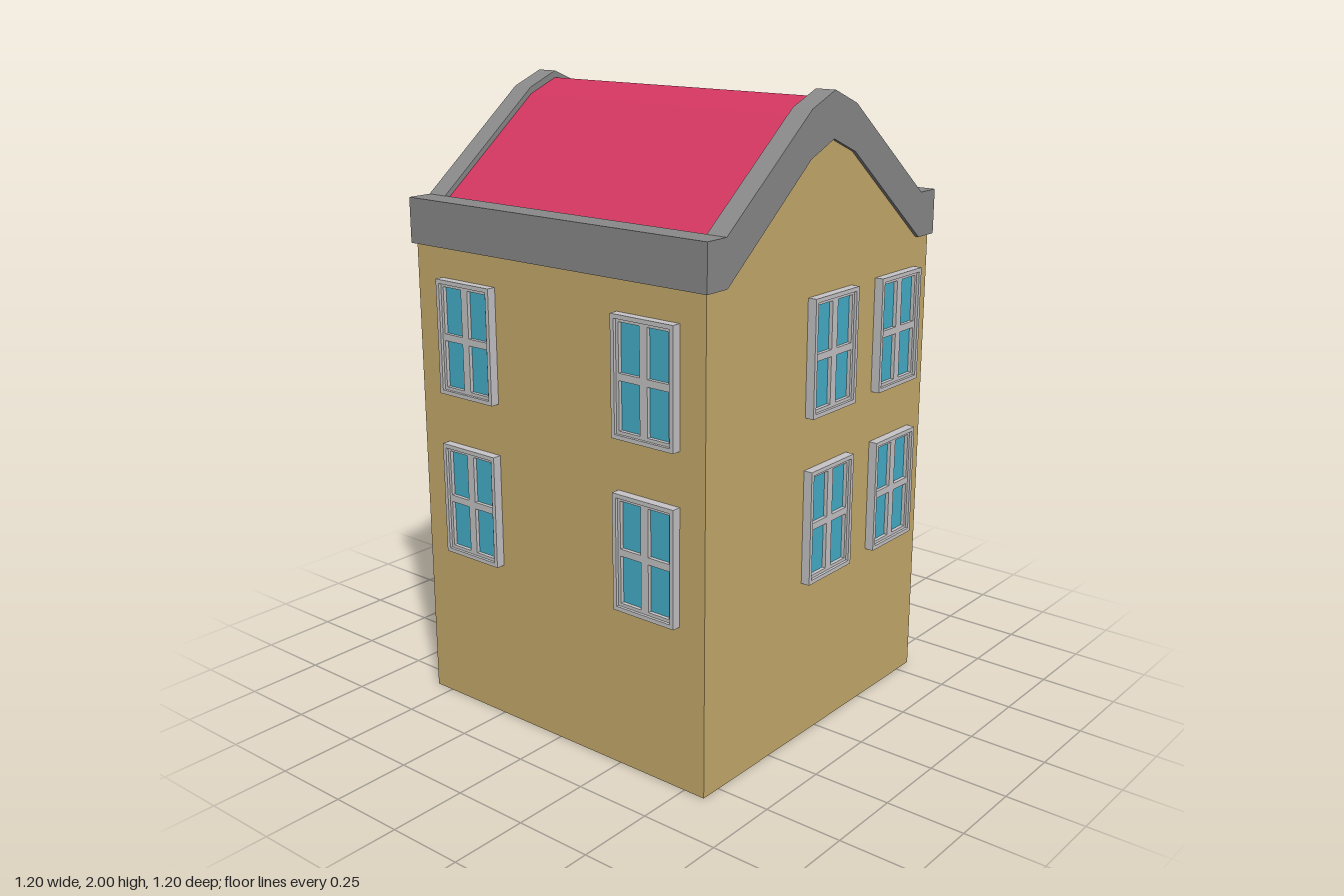
import * as THREE from 'three';

const material = (name, color) => {
  const m = new THREE.MeshStandardMaterial({ color });
  m.name = name;
  return m;
};

export function createModel() {
  const house = new THREE.Group();
  house.name = 'house';
  const wall = material('sand wall', 0xc9ad6e);
  const stone = material('grey stone', 0x8a8a8a);
  const tile = material('crimson roof', 0xd23661);
  const frame = material('pale frame', 0xc8c6c8);
  const glass = material('blue glass', 0x46b1cc);

  const BACK = -0.567, FRONT = 0.573, SIDE = 0.57;

  // Solid made by extruding an x-y outline between two z planes
  function prism(name, points, z0, z1, mat, parent = house) {
    const shape = new THREE.Shape(points.map(([x, y]) => new THREE.Vector2(x, y)));
    const geo = new THREE.ExtrudeGeometry(shape, { depth: z1 - z0, bevelEnabled: false });
    geo.translate(0, 0, z0);
    const mesh = new THREE.Mesh(geo, mat);
    mesh.name = name;
    parent.add(mesh);
    return mesh;
  }
  // Left-to-right outline from its right half (given from the edge to the ridge)
  const mirror = (half) => [...half, ...half.slice(0, -1).reverse().map(([x, y]) => [-x, y])];
  const rect = (x0, y0, x1, y1) => [[x0, y0], [x1, y0], [x1, y1], [x0, y1]];

  // Walls with gables
  prism('walls', mirror([[SIDE, 0], [SIDE, 1.57], [0.49, 1.57], [0.11, 1.88], [0, 1.925]]), BACK, FRONT, wall);

  // Curved roof
  prism('roof', mirror([[0.5, 1.56], [0.5, 1.63], [0.113, 1.933], [0, 1.978]]), -0.515, 0.522, tile);

  // Gable copings
  const top = mirror([[0.583, 1.65], [0.5, 1.65], [0.113, 1.955], [0, 2]]);
  const under = mirror([[0.583, 1.508], [0.495, 1.508], [0.113, 1.815], [0, 1.862]]);
  const coping = [...top, ...under.reverse()];
  prism('frontCoping', coping, 0.517, 0.585, stone);
  prism('backCoping', coping, -0.58, -0.51, stone);

  // Side parapets
  for (const s of [1, -1]) {
    const x = [s * 0.497, s * 0.583].sort((a, b) => a - b);
    prism(s > 0 ? 'leftParapet' : 'rightParapet', rect(x[0], 1.508, x[1], 1.65), -0.512, 0.52, stone);
  }

  // Flat plate with rectangular openings, facing +z
  function framePlate(name, outer, openings, depth, parent) {
    const shape = new THREE.Shape(rect(...outer).map((p) => new THREE.Vector2(...p)));
    for (const o of openings) {
      shape.holes.push(new THREE.Path(rect(...o).reverse().map((p) => new THREE.Vector2(...p))));
    }
    const mesh = new THREE.Mesh(new THREE.ExtrudeGeometry(shape, { depth, bevelEnabled: false }), frame);
    mesh.name = name;
    parent.add(mesh);
  }

  // Four-pane window centred on its own origin
  function makeWindow() {
    const g = new THREE.Group();
    g.name = 'window';
    const w = 0.114, h = 0.182;
    framePlate('casing', [-w, -h, w, h], [[-w + 0.013, -h + 0.013, w - 0.013, h - 0.013]], 0.029, g);
    const panes = [];
    for (const x of [-0.091, 0.014]) for (const y of [-0.159, 0.011]) panes.push([x, y, x + 0.077, y + 0.148]);
    framePlate('sash', [-w + 0.012, -h + 0.012, w - 0.012, h - 0.012], panes, 0.02, g);
    prism('pane', rect(-0.1, -0.168, 0.1, 0.168), 0.001, 0.008, glass, g);
    return g;
  }

  // Place an object on a wall
  const walls = {
    front: [0, (u) => [u, FRONT]],
    back: [Math.PI, (u) => [u, BACK]],
    left: [Math.PI / 2, (u) => [SIDE, u]],
    right: [-Math.PI / 2, (u) => [-SIDE, u]],
  };
  function place(object, side, u, y) {
    const [turn, at] = walls[side];
    const [x, z] = at(u);
    object.position.set(x, y, z);
    object.rotation.y = turn;
    house.add(object);
  }

  const columns = {
    front: [0.02, 0.38],
    back: [-0.31],
    left: [0.361, 0.002, -0.353],
    right: [-0.345, 0.368],
  };
  for (const [side, positions] of Object.entries(columns)) {
    for (const u of positions) {
      for (const y of [0.702, 1.231]) {
        const win = makeWindow();
        win.name = side + 'Window';
        place(win, side, u, y);
      }
    }
  }

  // Shopfront: double door between two display windows (local x runs towards -z)
  const shop = new THREE.Group();
  shop.name = 'shopfront';
  framePlate('doorFrame', [-0.17, 0.001, 0.17, 0.398],
    [[-0.153, 0.018, -0.014, 0.377], [0.014, 0.018, 0.153, 0.377]], 0.021, shop);
  prism('doorGlass', rect(-0.16, 0.01, 0.16, 0.385), 0.001, 0.009, glass, shop);
  for (const s of [-1, 1]) {
    const span = (a, b) => (s > 0 ? [a, b] : [-b, -a]);
    const [o0, o1] = span(0.168, 0.382);
    const [p0, p1] = span(0.17, 0.373);
    framePlate('displayFrame', [o0, 0.115, o1, 0.393],
      [[p0, 0.124, p1, 0.29], [p0, 0.311, p1, 0.384]], 0.016, shop);
    prism('displayGlass', rect(o0, 0.118, o1, 0.388), 0.001, 0.008, glass, shop);
  }
  place(shop, 'left', -0.008, 0);

  return house;
}
